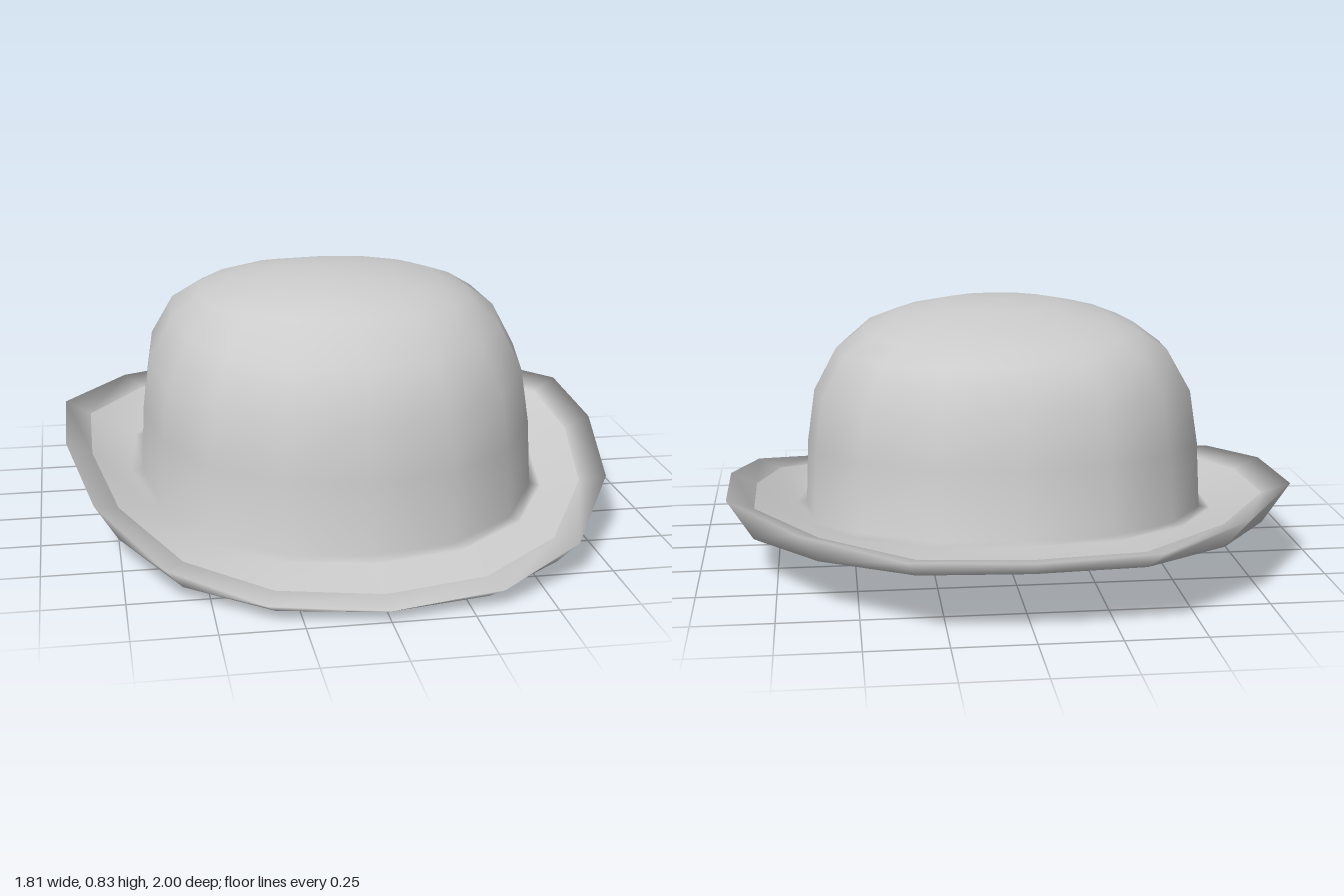
import * as THREE from 'three';
import { mergeVertices } from 'three/addons/utils/BufferGeometryUtils.js';

// Half outlines from back to front, [side, depth] as fractions, mirrored to closed loops
const mirror = (half) => [...half, ...half.slice(1, -1).reverse().map(([x, z]) => [-x, z])];
const BRIM = mirror([[0, -1], [0.41, -0.967], [0.75, -0.748], [0.995, -0.407], [1, 0],
  [0.915, 0.425], [0.7, 0.768], [0.39, 0.947], [0, 1]]);
const CROWN = mirror([[0, -1], [0.405, -0.955], [0.745, -0.735], [0.96, -0.405], [1, 0],
  [0.935, 0.395], [0.735, 0.72], [0.405, 0.935], [0, 1]]);

// One loop: half width, front z, back z, then heights at front, side and back
function ring([w, zf, zb, yf, ys, yb]) {
  return (w > 0.7 ? BRIM : CROWN).map(([x, t]) => [
    x * w,
    ys + t * (yf - yb) / 2 + t * t * ((yf + yb) / 2 - ys),
    t < 0 ? -t * zb : t * zf,
  ]);
}

// Smooth skin over successive loops
function loft(name, rows, material) {
  const n = BRIM.length, index = [];
  for (let r = 0; r < rows.length - 1; r++) {
    for (let j = 0; j < n; j++) {
      const a = r * n + j, b = r * n + (j + 1) % n, c = a + n, d = b + n;
      index.push(a, c, b, b, c, d);
    }
  }
  let geometry = new THREE.BufferGeometry();
  geometry.setAttribute('position', new THREE.Float32BufferAttribute(rows.flatMap(ring).flat(), 3));
  geometry.setIndex(index);
  geometry = mergeVertices(geometry, 1e-5);
  geometry.computeVertexNormals();
  const mesh = new THREE.Mesh(geometry, material);
  mesh.name = name;
  return mesh;
}

export function createModel() {
  const hat = new THREE.Group();
  hat.name = 'bowlerHat';
  const felt = new THREE.MeshStandardMaterial({ color: 0xcccccc, side: THREE.DoubleSide });

  const lipInner = [0.82, 0.9, -0.91, 0.047, 0.222, 0.226];

  // Crown loops from the base up to the apex
  const crown = [
    [0.655, 0.71, -0.72, 0.09, 0.155, 0.22],
    [0.645, 0.685, -0.69, 0.31, 0.37, 0.43],
    [0.62, 0.655, -0.65, 0.48, 0.54, 0.6],
    [0.545, 0.585, -0.57, 0.64, 0.68, 0.72],
    [0.455, 0.43, -0.49, 0.755, 0.748, 0.758],
    [0.36, 0.34, -0.35, 0.79, 0.787, 0.79],
    [0.2, 0.22, -0.2, 0.82, 0.822, 0.82],
    [0, 0, 0, 0.835, 0.835, 0.835],
  ];

  // Crown lining: the same loops, set inward, from the apex down
  const lining = crown.slice(1).map(([w, zf, zb, ...y]) => {
    const k = w ? 0.025 : 0;
    return [w - k, zf - k, zb + k, ...y.map((v) => v - 0.022)];
  }).reverse();

  // Brim top, running up into the crown
  hat.add(loft('crownAndBrimTop', [
    lipInner,
    [0.69, 0.75, -0.76, 0.08, 0.152, 0.215],
    ...crown,
  ], felt));

  // Lining, underside of the brim and its turned-up edge
  hat.add(loft('liningAndBrimUnderside', [
    ...lining,
    [0.638, 0.675, -0.7, 0.05, 0.122, 0.19],
    [0.72, 0.79, -0.8, 0.022, 0.107, 0.18],
    [0.825, 0.93, -0.915, 0.003, 0.11, 0.185],
    [0.905, 0.995, -1, 0.035, 0.26, 0.245],
    lipInner,
    [0.8, 0.88, -0.89, 0.02, 0.135, 0.195], // edge tucked below the brim top
  ], felt));

  return hat;
}
